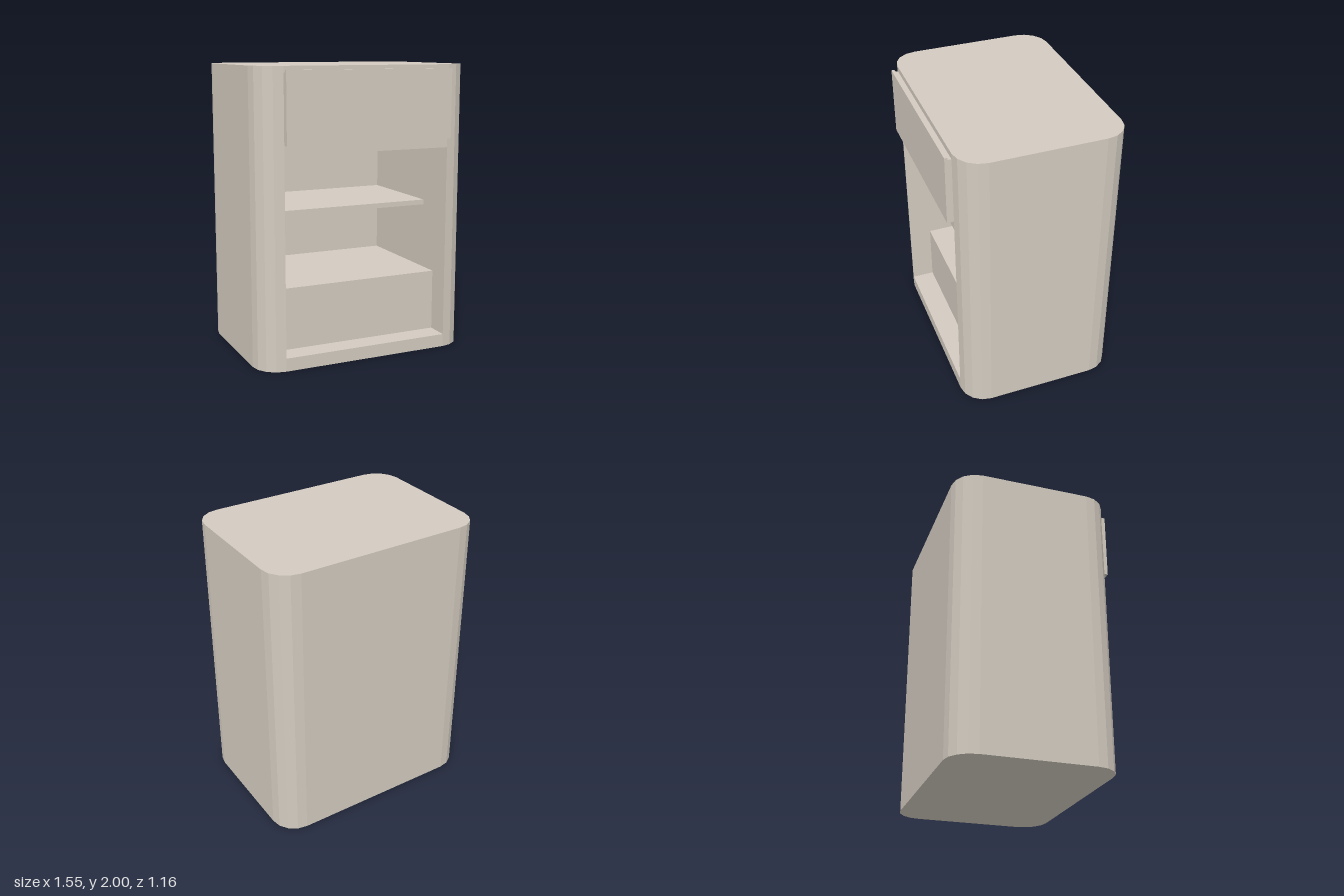
import * as THREE from 'three';

const W = 0.775, BACK = -0.58, FRONT = 0.535, H = 2, R = 0.175;
const IN = 0.6, FLOOR = 0.09, CEIL = 1.435, INNER_BACK = -0.505;

export function createModel() {
  const group = new THREE.Group();
  const paint = new THREE.MeshStandardMaterial({ color: 0xd3cbc0 });
  paint.name = 'warm beige';

  const add = (name, geometry) => {
    const mesh = new THREE.Mesh(geometry, paint);
    mesh.name = name;
    group.add(mesh);
  };

  // Flat-faced geometry from corners listed counter-clockwise
  const faces = (build) => {
    const pos = [];
    const tri = (a, b, c) => pos.push(...a, ...b, ...c);
    const quad = (a, b, c, d) => { tri(a, b, c); tri(a, c, d); };
    build(tri, quad);
    const g = new THREE.BufferGeometry();
    g.setAttribute('position', new THREE.Float32BufferAttribute(pos, 3));
    g.computeVertexNormals();
    return g;
  };

  // Rounded plan outline, from front right around the back to front left
  const outline = [];
  [[1, FRONT - R], [1, BACK + R], [-1, BACK + R], [-1, FRONT - R]].forEach(([s, cz], k) => {
    for (let i = 0; i <= 4; i++) {
      const t = Math.PI / 2 * (1 - k - i / 4);
      outline.push([s * (W - R) + R * Math.cos(t), cz + R * Math.sin(t)]);
    }
  });
  const at = ([x, z], y) => [x, y, z];

  // Outer walls, top, underside and the two front bands around the opening
  add('cabinetShell', faces((tri, quad) => {
    for (let i = 0; i < outline.length - 1; i++) {
      const p = outline[i], q = outline[i + 1];
      quad(at(p, 0), at(q, 0), at(q, H), at(p, H));
      if (i > 0) {
        tri(at(outline[0], H), at(p, H), at(q, H));
        tri(at(outline[0], 0), at(q, 0), at(p, 0));
      }
    }
    for (const [lo, hi] of [[0, FLOOR], [CEIL, H]]) {
      quad([-IN, lo, FRONT], [IN, lo, FRONT], [IN, hi, FRONT], [-IN, hi, FRONT]);
    }
  }));

  // Inside faces of the open compartment
  add('compartmentLining', faces((tri, quad) => {
    const c = (x, y, z) => [x * IN, y ? CEIL : FLOOR, z ? FRONT : INNER_BACK];
    quad(c(-1, 0, 0), c(1, 0, 0), c(1, 1, 0), c(-1, 1, 0));
    quad(c(-1, 0, 1), c(1, 0, 1), c(1, 0, 0), c(-1, 0, 0));
    quad(c(-1, 1, 0), c(1, 1, 0), c(1, 1, 1), c(-1, 1, 1));
    quad(c(-1, 0, 1), c(-1, 0, 0), c(-1, 1, 0), c(-1, 1, 1));
    quad(c(1, 0, 0), c(1, 0, 1), c(1, 1, 1), c(1, 1, 0));
  }));

  // Shelf and the raised box at the bottom, both reaching the back wall
  const insert = (name, y0, y1, z) => {
    const g = new THREE.BoxGeometry(2 * IN, y1 - y0, z - INNER_BACK);
    g.translate(0, (y0 + y1) / 2, (z + INNER_BACK) / 2);
    add(name, g);
  };
  insert('shelf', 0.985, 1.02, 0.23);
  insert('lowerBox', FLOOR, 0.52, 0.375);

  // Drawer front with a finger groove behind its top edge
  const profile = new THREE.Shape([
    [FRONT, 1.5], [0.58, 1.5], [0.58, 1.975], [0.558, 1.975], [0.558, 1.96], [FRONT, 1.96],
  ].map(([z, y]) => new THREE.Vector2(z, y)));
  const drawer = new THREE.ExtrudeGeometry(profile, { depth: 2 * IN, bevelEnabled: false });
  drawer.rotateY(-Math.PI / 2);
  drawer.translate(IN, 0, 0);
  add('drawerFront', drawer);

  return group;
}
